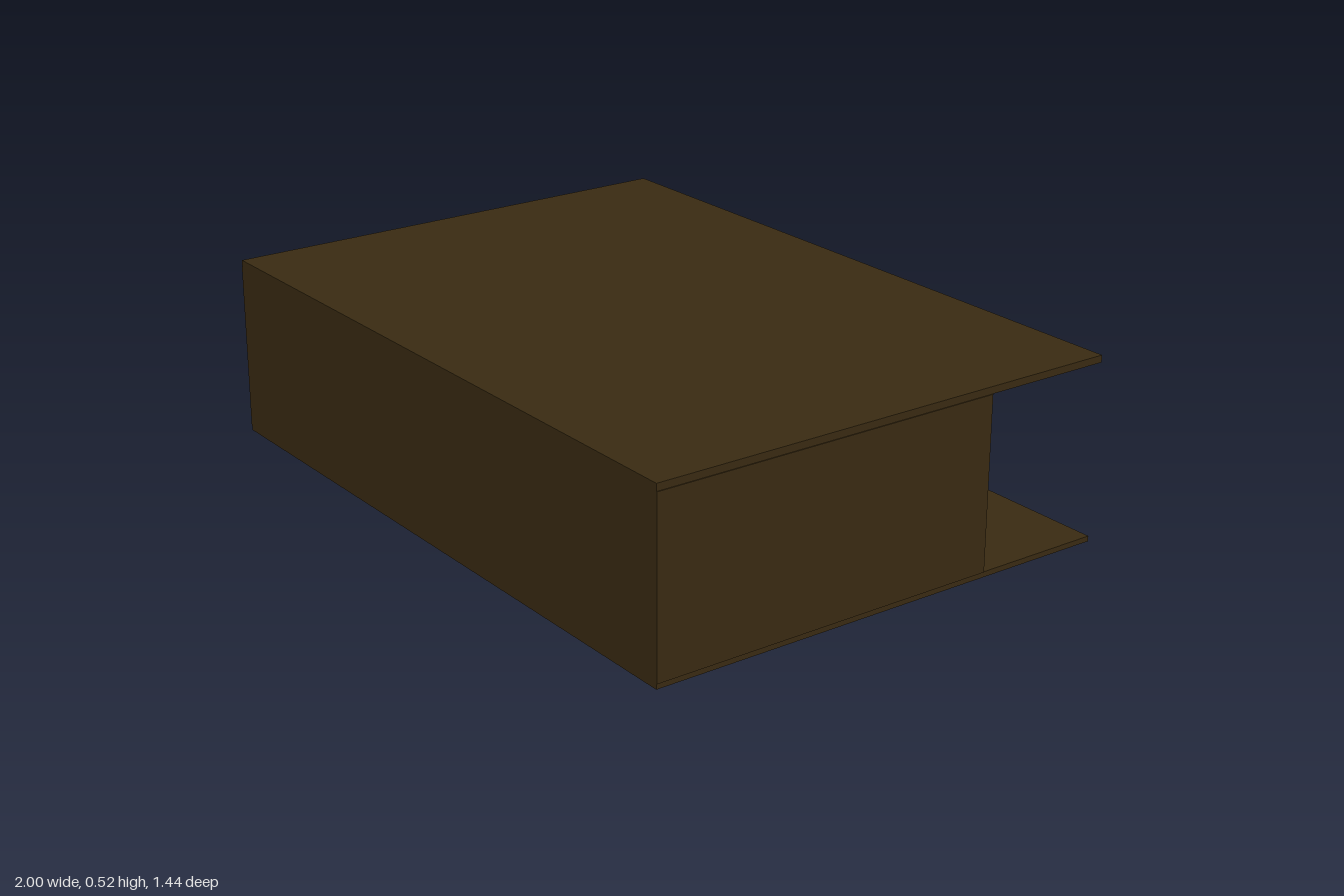
import * as THREE from 'three';

const paint = (color) => new THREE.MeshStandardMaterial({ color });

export function createModel() {
  const model = new THREE.Group();
  const wood = paint(0x3a2b12);
  const add = (name, geometry, material = wood) => {
    const mesh = new THREE.Mesh(geometry, material);
    mesh.name = name;
    model.add(mesh);
    return mesh;
  };

  // Floor and roof slabs, overhanging at the back
  add('floor', new THREE.BoxGeometry(1.995, 0.015, 1.405)).position.set(0, 0.0075, 0.0175);
  add('roof', new THREE.BoxGeometry(1.995, 0.02, 1.41)).position.set(0, 0.51, 0.015);

  // Front, side and angled back walls as one ring, open behind the entrance.
  // Half plan as [x, z], mirrored to make the whole outline.
  const outer = [[1, 0.72], [1, -0.31], [0.33, -0.69]];
  const inner = [[0.33, -0.66], [0.97, -0.295], [0.97, 0.69]];
  const mirror = (points) => points.map(([x, z]) => [-x, z]).reverse();
  const outline = [...outer, ...inner, ...mirror(inner), ...mirror(outer)];
  const plan = new THREE.Shape(outline.map(([x, z]) => new THREE.Vector2(x, -z)));
  const walls = new THREE.ExtrudeGeometry(plan, { depth: 0.485, bevelEnabled: false });
  walls.rotateX(-Math.PI / 2);
  add('walls', walls).position.y = 0.015;

  // Entrance panel with a doorway down to the sill
  const panel = new THREE.Shape([
    [-0.34, 0.015], [-0.115, 0.015], [-0.115, 0.38], [0.115, 0.38],
    [0.115, 0.015], [0.34, 0.015], [0.34, 0.5], [-0.34, 0.5],
  ].map(([x, y]) => new THREE.Vector2(x, y)));
  const entrance = new THREE.ExtrudeGeometry(panel, { depth: 0.06, bevelEnabled: false });
  add('entrancePanel', entrance).position.z = -0.72;

  // Domed chamber inside, standing on a golden base
  const profile = [new THREE.Vector2(0.24, 0.09)];
  for (let i = 0; i <= 12; i++) {
    const a = (i / 12) * Math.PI / 2;
    profile.push(new THREE.Vector2(0.24 * Math.cos(a), 0.31 + 0.174 * Math.sin(a)));
  }
  const dome = new THREE.LatheGeometry(profile, 40);
  add('dome', dome, paint(0xc4997a)).position.z = -0.415;
  const base = new THREE.CylinderGeometry(0.243, 0.243, 0.08, 40);
  add('domeBase', base, paint(0x8a5c12)).position.set(0, 0.055, -0.415);

  return model;
}
